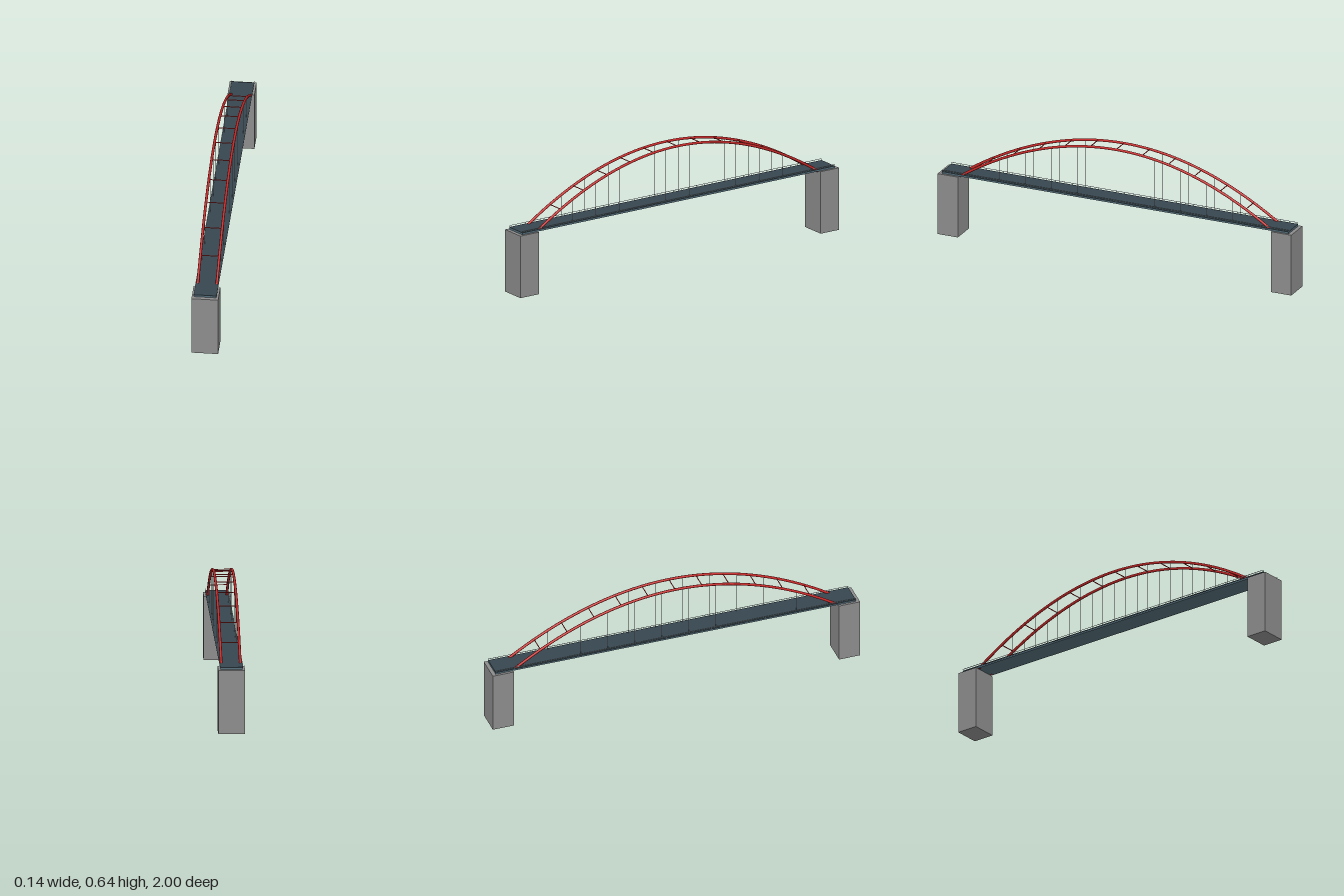
import * as THREE from 'three';

const mat = (name, color, extra) => {
  const m = new THREE.MeshStandardMaterial({ color });
  m.name = name;
  return m;
};

export function createModel() {
  const root = new THREE.Group();
  root.name = 'archBridge';
  const concrete = mat('concrete grey', 0x8c8c8c);
  const steel = mat('girder blue grey', 0x546e7a);
  const asphalt = mat('road slate', 0x37474f);
  const red = mat('arch red', 0xc62828);
  const rail = mat('railing light grey', 0xb0bec5);
  const cable = mat('hanger grey', 0x9e9e9e);

  const box = (name, material, size, pos, parent = root) => {
    const mesh = new THREE.Mesh(new THREE.BoxGeometry(...size), material);
    mesh.position.set(...pos);
    mesh.name = name;
    parent.add(mesh);
    return mesh;
  };

  // Parabolic rise of the arch centre line
  const HALF = 0.88, CROWN = 0.63, RISE = 0.295, ROAD = 0.346, STEP = HALF / 6;
  const archY = z => CROWN - RISE * (z / HALF) ** 2;

  // End piers
  for (const s of [1, -1]) box('pier', concrete, [0.138, 0.334, 0.115], [0, 0.167, s * 0.9425]);

  // Girder with the road slab on top
  box('girder', steel, [0.114, 0.009, 1.96], [0, 0.3385, 0]);
  box('roadSlab', asphalt, [0.118, 0.004, 1.96], [0, 0.344, 0]);

  // Arch ribs: square section swept along the parabola
  class ArchCurve extends THREE.Curve {
    getPoint(t, target = new THREE.Vector3()) {
      const z = (t * 2 - 1) * HALF;
      return target.set(0, archY(z), z);
    }
  }
  const ribGeometry = new THREE.TubeGeometry(new ArchCurve(), 48, 0.007, 8, false);

  for (const s of [1, -1]) {
    const side = new THREE.Group();
    side.name = s > 0 ? 'leftSide' : 'rightSide';
    root.add(side);

    const rib = new THREE.Mesh(ribGeometry, red);
    rib.name = 'archRib';
    rib.position.x = s * 0.049;
    side.add(rib);

    // Hangers between rib and deck
    for (let i = -5; i < 5; i++) {
      const z = (i + 0.5) * STEP, h = archY(z) - ROAD;
      const hanger = new THREE.Mesh(new THREE.CylinderGeometry(0.001, 0.001, h, 6), cable);
      hanger.name = 'hanger';
      hanger.position.set(s * 0.049, ROAD + h / 2, z);
      side.add(hanger);
    }

    // Railing: top bar and posts
    box('railingBar', rail, [0.002, 0.002, 1.96], [s * 0.058, 0.354, 0], side);
    for (let i = 0; i <= 40; i++) {
      box('railingPost', rail, [0.0015, 0.009, 0.0015], [s * 0.058, 0.3495, -0.978 + i * 0.0489], side);
    }
  }

  // Cross braces joining the ribs
  for (let i = -5; i <= 5; i++) {
    const z = i * STEP;
    const brace = new THREE.Mesh(new THREE.CylinderGeometry(0.0025, 0.0025, 0.094, 8), red);
    brace.name = 'crossBrace';
    brace.rotation.z = Math.PI / 2;
    brace.position.set(0, archY(z), z);
    root.add(brace);
  }
  return root;
}
